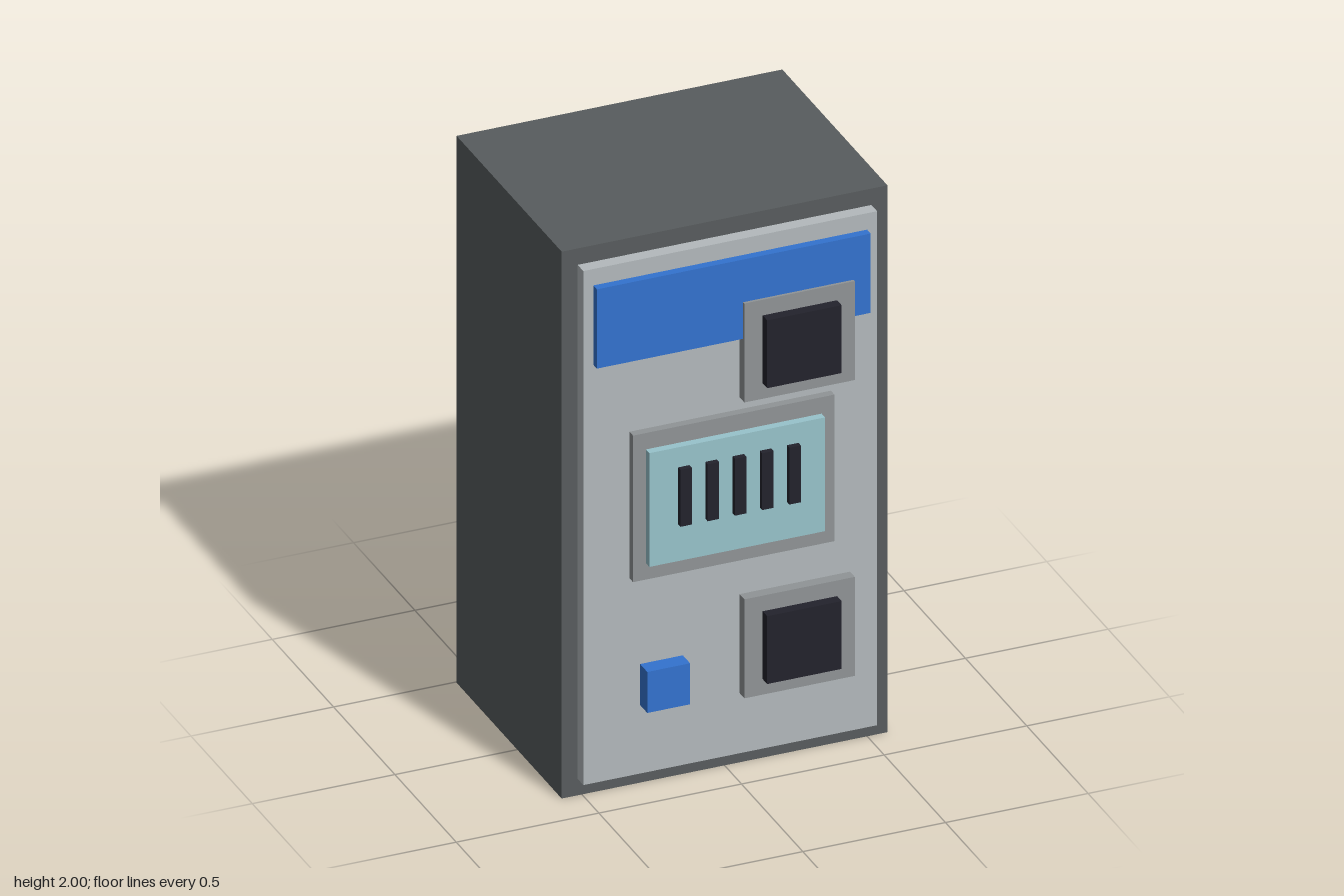
import * as THREE from 'three';

const material = (name, color) => {
  const m = new THREE.MeshStandardMaterial({ color });
  m.name = name;
  return m;
};

export function createModel() {
  const group = new THREE.Group();
  group.name = 'controlCabinet';

  const casing = material('dark grey casing', 0x585c5e);
  const panelGrey = material('light grey panel', 0xb3b9bc);
  const frameGrey = material('mid grey frame', 0x909496);
  const blue = material('blue', 0x3373cf);
  const glass = material('pale cyan screen', 0x97c3cb);
  const black = material('near black', 0x22222c);

  // Box given by its extents on each axis
  const block = (name, mat, [x0, x1], [y0, y1], [z0, z1]) => {
    const mesh = new THREE.Mesh(new THREE.BoxGeometry(x1 - x0, y1 - y0, z1 - z0), mat);
    mesh.position.set((x0 + x1) / 2, (y0 + y1) / 2, (z0 + z1) / 2);
    mesh.name = name;
    group.add(mesh);
  };

  // Cabinet, front panel and header strip
  block('cabinet', casing, [-0.571, 0.571], [0, 2], [-0.495, 0.362]);
  block('frontPanel', panelGrey, [-0.515, 0.515], [0.06, 1.94], [0.362, 0.408]);
  block('headerStrip', blue, [-0.48, 0.48], [1.59, 1.88], [0.408, 0.437]);

  // Upper and lower framed slots
  for (const [name, y] of [['upper', 1.543], ['lower', 0.461]]) {
    block(name + 'SlotFrame', frameGrey, [0.033, 0.42], [y - 0.181, y + 0.181], [0.408, 0.447]);
    block(name + 'Slot', black, [0.097, 0.358], [y - 0.124, y + 0.124], [0.447, 0.484]);
  }

  // Screen with a row of upright bars
  block('screenFrame', frameGrey, [-0.353, 0.353], [0.782, 1.318], [0.408, 0.437]);
  block('screen', glass, [-0.308, 0.308], [0.842, 1.258], [0.437, 0.465]);
  for (let i = -2; i <= 2; i++) {
    const x = i * 0.0955;
    block('screenBar', black, [x - 0.02, x + 0.02], [0.982, 1.19], [0.474, 0.493]);
  }

  // Push button
  block('button', blue, [-0.328, -0.178], [0.327, 0.477], [0.436, 0.495]);

  return group;
}
